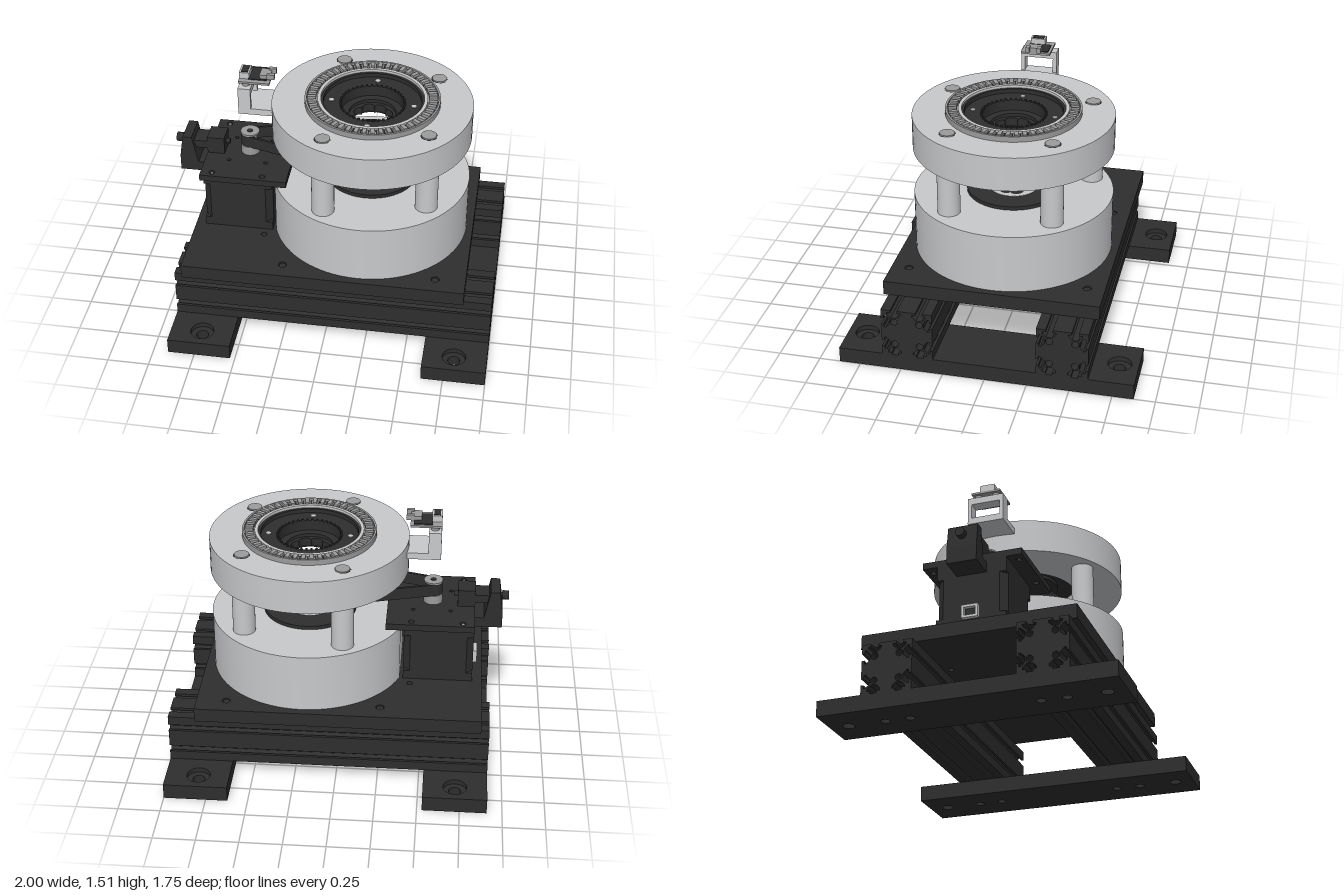
import * as THREE from 'three';
import { toCreasedNormals } from 'three/addons/utils/BufferGeometryUtils.js';

const mat = (name, color) => {
  const m = new THREE.MeshStandardMaterial({ color });
  m.name = name;
  return m;
};
const black = mat('black anodised', 0x2e2e2e);
const silver = mat('silver', 0xc8c9cb);
const steel = mat('steel', 0x9c9c9c);
const AXIS = 0.2; // x of the turntable axis

export function createModel() {
  const root = new THREE.Group();
  root.name = 'motorisedTurntable';

  const add = (name, geo, material, x = 0, y = 0, z = 0) => {
    const m = new THREE.Mesh(geo, material);
    m.name = name;
    m.position.set(x, y, z);
    root.add(m);
    return m;
  };
  // box given by its limits
  const box = (name, material, x0, x1, y0, y1, z0, z1) =>
    add(name, new THREE.BoxGeometry(x1 - x0, y1 - y0, z1 - z0), material,
      (x0 + x1) / 2, (y0 + y1) / 2, (z0 + z1) / 2);
  const cyl = (name, material, r, x, z, y0, y1, seg = 32) =>
    add(name, new THREE.CylinderGeometry(r, r, y1 - y0, seg), material, x, (y0 + y1) / 2, z);
  const rod = (name, material, r, x0, x1, y, z) => {
    add(name, new THREE.CylinderGeometry(r, r, x1 - x0, 20), material, (x0 + x1) / 2, y, z).rotation.z = Math.PI / 2;
  };
  // square-edged ring around the turntable axis
  const ring = (name, material, ri, ro, y0, y1, x = AXIS) => {
    const pts = [[ri, y0], [ro, y0], [ro, y1], [ri, y1], [ri, y0]].map(p => new THREE.Vector2(...p));
    return add(name, toCreasedNormals(new THREE.LatheGeometry(pts, 80), 0.6), material, x);
  };
  // horizontal plate: outline in x / z, raised from y0 to y1
  const plate = (name, material, shape, y0, y1) => {
    const g = new THREE.ExtrudeGeometry(shape, { depth: y1 - y0, bevelEnabled: false, curveSegments: 40 });
    g.rotateX(-Math.PI / 2);
    return add(name, toCreasedNormals(g, 0.5), material, 0, y0);
  };
  const polygon = pts => new THREE.Shape(pts.map(p => new THREE.Vector2(...p)));
  const rect = (x0, x1, z0, z1) => polygon([[x0, z0], [x1, z0], [x1, z1], [x0, z1]]);
  const hole = (shape, x, z, r) => shape.holes.push(new THREE.Path().absarc(x, z, r, 0, Math.PI * 2, true));

  // Foot plates with counterbored mounting holes
  for (const [x0, x1] of [[-0.91, -0.53], [0.62, 1.0]]) {
    const cx = x0 < 0 ? -0.72 : 0.805;
    for (const [y0, y1, r] of [[0, 0.065, 0.036], [0.065, 0.095, 0.07]]) {
      const s = rect(x0, x1, -0.875, 0.875);
      for (const k of [-1, 1]) {
        hole(s, cx, k * 0.762, r);
        if (y0 === 0) for (const z of [0.385, 0.535]) hole(s, cx, k * z, 0.028);
      }
      plate('footPlate', black, s, y0, y1);
    }
  }

  // Slotted rails: one side with two T slots, turned four times
  const h = 0.152, profile = [];
  for (let i = 0; i < 4; i++) {
    const side = [[-h, -h]];
    for (const c of [-0.075, 0.075]) {
      side.push([c - 0.02, -h], [c - 0.02, -h + 0.016], [c - 0.04, -h + 0.016], [c - 0.04, -h + 0.028],
        [c - 0.018, -h + 0.05], [c + 0.018, -h + 0.05], [c + 0.04, -h + 0.028], [c + 0.04, -h + 0.016],
        [c + 0.02, -h + 0.016], [c + 0.02, -h]);
    }
    for (const p of side) profile.push(new THREE.Vector2(...p).rotateAround(new THREE.Vector2(), i * Math.PI / 2));
  }
  const railShape = new THREE.Shape(profile);
  for (const u of [-0.075, 0.075]) for (const v of [-0.075, 0.075]) hole(railShape, u, v, 0.021);
  const railGeo = new THREE.ExtrudeGeometry(railShape, { depth: 1.91, bevelEnabled: false, curveSegments: 10 });
  railGeo.rotateY(Math.PI / 2);
  for (const z of [-0.457, 0.457]) add('slottedRail', railGeo, black, -0.91, 0.247, z);

  // Base plate
  const base = rect(-0.86, 0.835, -0.64, 0.64);
  hole(base, AXIS, 0, 0.14);
  for (const z of [-1, 1]) {
    hole(base, -0.425, z * 0.263, 0.018);
    for (const x of [-0.26, 0.655]) {
      hole(base, x, z * 0.535, 0.025);
      cyl('baseScrew', black, 0.022, x, z * 0.535, 0.41, 0.478, 16);
    }
  }
  plate('basePlate', black, base, 0.398, 0.485);

  // Lower drum, flattened next to the motor
  const drum = new THREE.Shape();
  const cut = Math.acos(-0.56 / 0.595);
  drum.absarc(AXIS, 0, 0.595, -cut, cut, false);
  hole(drum, AXIS, 0, 0.27);
  plate('lowerDrum', silver, drum, 0.485, 0.845);
  ring('lowerBearing', black, 0.15, 0.28, 0.6, 0.868);

  // Posts, upper ring and bolt heads
  for (const [x, z] of [[-0.03, 0.43], [0.565, 0.305]]) {
    for (const k of [-1, 1]) {
      cyl('post', silver, 0.067, x, k * z, 0.84, 1.145);
      cyl('boltRecess', black, 0.05, x, k * z, 1.34, 1.348);
      cyl('boltHead', steel, 0.044, x, k * z, 1.34, 1.356);
    }
  }
  ring('upperRing', silver, 0.3, 0.595, 1.142, 1.348);

  // Slotted index ring with raised teeth
  ring('indexRing', steel, 0.305, 0.4, 1.348, 1.366);
  ring('indexOuterRim', steel, 0.388, 0.4, 1.366, 1.382);
  ring('indexInnerRim', silver, 0.305, 0.325, 1.366, 1.378);
  const tooth = new THREE.BoxGeometry(0.05, 0.018, 0.024);
  const slot = new THREE.BoxGeometry(0.054, 0.005, 0.008);
  for (let i = 0; i < 48; i++) {
    for (const [name, g, m, half, y] of [['indexTooth', tooth, steel, 0, 1.375], ['indexSlot', slot, black, 0.5, 1.367]]) {
      const a = (i + half) / 48 * Math.PI * 2;
      add(name, g, m, AXIS + 0.358 * Math.cos(a), y, -0.358 * Math.sin(a)).rotation.y = a;
    }
  }

  // Stepped inner rotor
  ring('rotorFlange', black, 0.185, 0.305, 1.2, 1.335);
  ring('rotorLip', black, 0.29, 0.305, 1.335, 1.36);
  ring('rotorStep', black, 0.14, 0.19, 1.18, 1.27);
  for (let i = 0; i < 4; i++) {
    const a = i * Math.PI / 2;
    cyl('rotorScrew', silver, 0.015, AXIS + 0.245 * Math.cos(a), 0.245 * Math.sin(a), 1.33, 1.339, 16);
  }
  for (let i = 0; i < 40; i++) {
    const a = i / 40 * Math.PI * 2;
    add('rotorSerration', new THREE.BoxGeometry(0.012, 0.012, 0.012), black,
      AXIS + 0.19 * Math.cos(a), 1.338, -0.19 * Math.sin(a)).rotation.y = a;
  }

  // Lobed centre rings at the three levels
  const lobes = new THREE.Path();
  for (let i = 0; i <= 96; i++) {
    const a = -i / 96 * Math.PI * 2;
    const r = 0.1 + 0.022 * Math.sqrt(Math.abs(Math.sin(4 * a)));
    lobes[i ? 'lineTo' : 'moveTo'](AXIS + r * Math.cos(a), r * Math.sin(a));
  }
  for (const [y0, y1, m] of [[1.2, 1.25, black], [1.0, 1.05, steel], [0.8, 0.87, silver]]) {
    const s = new THREE.Shape().absarc(AXIS, 0, 0.152, 0, Math.PI * 2, false);
    s.holes.push(lobes);
    plate('lobedCentre', m, s, y0, y1);
  }

  // Belt drive
  const PX = -0.545;
  const loop = (Type, inset) => {
    const t = Math.PI - Math.acos(0.195 / (AXIS - PX));
    const p = new Type();
    p.absarc(AXIS, 0, 0.25 - inset, -t, t, false);
    p.absarc(PX, 0, 0.055 - inset, t, Math.PI * 2 - t, false);
    p.closePath();
    return p;
  };
  const belt = loop(THREE.Shape, 0);
  belt.holes.push(loop(THREE.Path, 0.014));
  plate('driveBelt', black, belt, 0.98, 1.055);
  ring('drivenPulley', black, 0.15, 0.237, 0.985, 1.05);
  cyl('motorPulley', steel, 0.042, PX, 0, 0.92, 1.058);
  cyl('pulleyHub', steel, 0.057, PX, 0, 0.92, 0.978);
  cyl('pulleyFlange', steel, 0.057, PX, 0, 1.055, 1.065);
  cyl('motorShaft', black, 0.018, PX, 0, 1.06, 1.068, 16);

  // Motor: end caps around a chamfered body
  const c = 0.04, mx0 = -0.8, mx1 = -0.38;
  const body = polygon([[mx0 + c, -0.21], [mx1 - c, -0.21], [mx1, -0.21 + c], [mx1, 0.21 - c],
    [mx1 - c, 0.21], [mx0 + c, 0.21], [mx0, 0.21 - c], [mx0, -0.21 + c]]);
  plate('motorBody', black, body, 0.53, 0.8);
  box('motorBottomCap', black, mx0, mx1, 0.485, 0.54, -0.21, 0.21);
  box('motorTopCap', black, mx0, mx1, 0.79, 0.882, -0.21, 0.21);
  const connector = polygon([[-0.05, 0.52], [0.05, 0.52], [0.05, 0.6], [-0.05, 0.6]]);
  connector.holes.push(new THREE.Path([[-0.035, 0.535], [-0.035, 0.585], [0.035, 0.585], [0.035, 0.535]].map(p => new THREE.Vector2(...p))));
  const connectorGeo = new THREE.ExtrudeGeometry(connector, { depth: 0.03, bevelEnabled: false });
  connectorGeo.rotateY(Math.PI / 2);
  add('motorConnector', connectorGeo, silver, -0.826);

  // Motor mounting plate
  const mount = rect(-0.8, -0.275, -0.302, 0.302);
  for (const z of [-1, 1]) {
    hole(mount, -0.425, z * 0.263, 0.018);
    hole(mount, -0.73, z * 0.263, 0.018);
    hole(mount, -0.655, z * 0.12, 0.012);
    hole(mount, -0.43, z * 0.12, 0.012);
    cyl('mountScrew', steel, 0.01, -0.73, z * 0.263, 0.885, 0.916, 12);
  }
  plate('motorMount', black, mount, 0.88, 0.92);

  // Belt tensioner bracket with its screw
  const bracket = polygon([[-0.965, 0.8], [-0.8, 0.8], [-0.8, 0.862], [-0.855, 0.862], [-0.89, 1.037], [-0.945, 1.037], [-0.965, 0.9]]);
  add('tensionerBracket', new THREE.ExtrudeGeometry(bracket, { depth: 0.18, bevelEnabled: false }), black, 0, 0, -0.09);
  box('tensionerBlock', black, -0.8, -0.695, 0.92, 1.028, -0.062, 0.062);
  box('tensionerArm', black, -0.89, -0.8, 0.95, 1.0, -0.062, 0.062);
  rod('tensionerScrew', black, 0.016, -0.995, -0.67, 0.975, 0);
  rod('tensionerKnob', black, 0.028, -1.0, -0.96, 0.975, 0);

  // Sensor bracket: arm, open frame and top bar
  box('sensorArm', silver, -0.585, -0.36, 1.258, 1.298, -0.112, 0.112);
  for (const z of [-0.1, 0.1]) box('sensorLeg', silver, -0.585, -0.51, 1.29, 1.4, z - 0.012, z + 0.012);
  box('sensorTopBar', silver, -0.585, -0.51, 1.39, 1.432, -0.112, 0.112);
  for (const z of [-0.055, 0.055]) cyl('sensorSpacer', steel, 0.025, -0.545, z, 1.43, 1.455, 16);

  // Sensor board and its components
  box('sensorBoard', steel, -0.585, -0.4, 1.455, 1.468, -0.09, 0.09);
  box('sensorChip', black, -0.53, -0.42, 1.468, 1.474, -0.075, 0.06);
  box('sensorPlug', silver, -0.585, -0.525, 1.468, 1.508, -0.035, 0.055);
  box('sensorPlugSlot', black, -0.575, -0.535, 1.507, 1.511, -0.025, 0.045);
  box('sensorHead', steel, -0.465, -0.4, 1.468, 1.498, -0.03, 0.05);
  for (const z of [-0.025, 0.045]) box('sensorFork', steel, -0.42, -0.375, 1.476, 1.508, z - 0.012, z + 0.012);

  return root;
}
